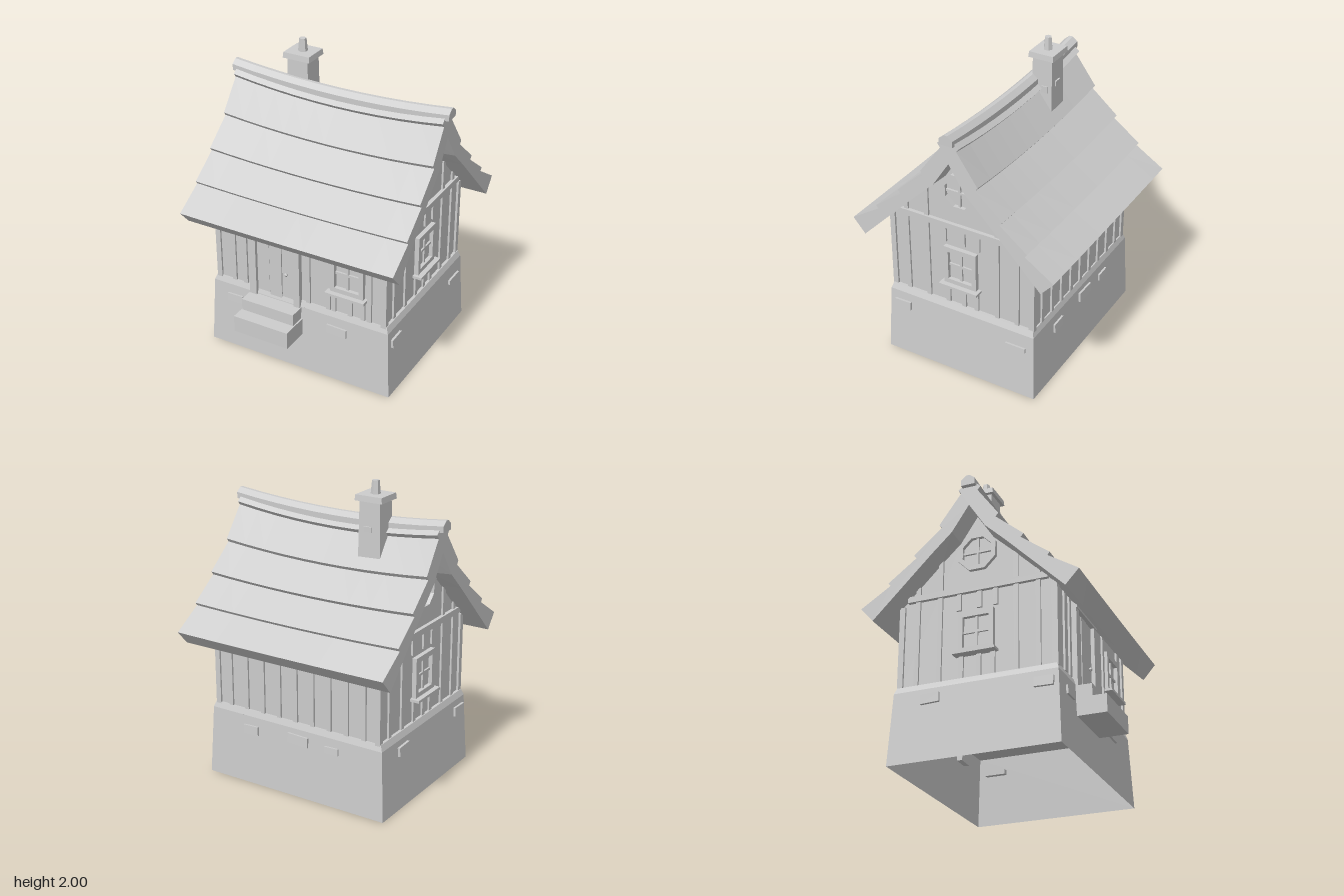
import * as THREE from 'three';

const plaster = new THREE.MeshStandardMaterial({ color: 0xcccccc, side: THREE.DoubleSide, flatShading: true });
plaster.name = 'light grey';

function add(parent, name, geometry, x = 0, y = 0, z = 0) {
  const mesh = new THREE.Mesh(geometry, plaster);
  mesh.name = name;
  mesh.position.set(x, y, z);
  parent.add(mesh);
  return mesh;
}

// Box given by its x, y and z ranges
function block(parent, name, [x0, x1], [y0, y1], [z0, z1]) {
  return add(parent, name, new THREE.BoxGeometry(x1 - x0, y1 - y0, z1 - z0),
    (x0 + x1) / 2, (y0 + y1) / 2, (z0 + z1) / 2);
}

// Four-sided tapered block: half sizes at bottom and top
function frustum(parent, name, y0, y1, bottom, top, open = false) {
  const g = new THREE.CylinderGeometry(Math.SQRT2 * top[0], Math.SQRT2 * bottom[0], y1 - y0, 4, 1, open);
  g.rotateY(Math.PI / 4).scale(1, 1, bottom[1] / bottom[0]);
  return add(parent, name, g, 0, (y0 + y1) / 2, 0);
}

// Closed [z, y] outline swept along x; bend moves each point
function loft(outline, segments, bend) {
  const pts = [];
  const n = outline.length;
  for (let s = 0; s <= segments; s++) {
    for (const [z, y] of outline) pts.push(...bend((s / segments) * 2 - 1, y, z));
  }
  const index = [];
  for (let s = 0; s < segments; s++) {
    for (let i = 0; i < n; i++) {
      const a = s * n + i, b = s * n + (i + 1) % n;
      index.push(a, a + n, b, b, a + n, b + n);
    }
  }
  const last = segments * n;
  for (const [a, b, c] of THREE.ShapeUtils.triangulateShape(outline.map(p => new THREE.Vector2(...p)), [])) {
    index.push(a, b, c, last + a, last + c, last + b);
  }
  const g = new THREE.BufferGeometry();
  g.setAttribute('position', new THREE.Float32BufferAttribute(pts, 3));
  g.setIndex(index);
  const flat = g.toNonIndexed();
  flat.computeVertexNormals();
  return flat;
}

// Underside of the roof, from eave to ridge
const under = [[0.625, 0.915], [0.24, 1.305], [0.11, 1.43], [0, 1.6]];
function underside(z) {
  const d = Math.abs(z);
  for (let i = 0; i < 3; i++) {
    const [za, ya] = under[i], [zb, yb] = under[i + 1];
    if (d >= zb) return ya + (yb - ya) * (za - d) / (za - zb);
  }
  return 1.6;
}

function wallGroup(parent, name, angle, distance) {
  const g = new THREE.Group();
  g.name = name;
  g.rotation.y = angle;
  g.translateZ(distance);
  parent.add(g);
  return g;
}

function batten(wall, u, y0, y1, w = 0.03) {
  block(wall, 'batten', [u - w / 2, u + w / 2], [y0, y1], [-0.01, 0.013]);
}

// Framed window with cross bars and a projecting sill
function casement(wall, u) {
  const g = new THREE.Group();
  g.name = 'window';
  g.position.x = u;
  wall.add(g);
  for (const s of [-1, 1]) {
    block(g, 'windowJamb', [s * 0.1 - 0.015, s * 0.1 + 0.015], [0.66, 0.925], [-0.01, 0.03]);
  }
  block(g, 'windowHead', [-0.115, 0.115], [0.89, 0.925], [-0.01, 0.03]);
  block(g, 'windowFoot', [-0.115, 0.115], [0.66, 0.69], [-0.01, 0.03]);
  block(g, 'pane', [-0.085, 0.085], [0.69, 0.89], [-0.001, 0.004]);
  block(g, 'windowMullion', [-0.008, 0.008], [0.69, 0.89], [0, 0.016]);
  block(g, 'windowCrossbar', [-0.085, 0.085], [0.785, 0.801], [0, 0.016]);
  block(g, 'windowSill', [-0.137, 0.137], [0.643, 0.66], [-0.01, 0.063]);
  for (const x of [-0.1, 0.015, 0.105]) batten(wall, u + x, 0.5, 0.645);
}

// Octagonal attic window
function atticWindow(wall) {
  const g = new THREE.Group();
  g.name = 'atticWindow';
  g.position.y = 1.33;
  wall.add(g);
  const octagon = r => Array.from({ length: 8 }, (_, i) => {
    const a = (i + 0.5) * Math.PI / 4;
    return new THREE.Vector2(Math.cos(a) * r, Math.sin(a) * r);
  });
  const shape = new THREE.Shape(octagon(0.133));
  shape.holes.push(new THREE.Path(octagon(0.102)));
  add(g, 'atticFrame', new THREE.ExtrudeGeometry(shape, { depth: 0.035, bevelEnabled: false }), 0, 0, -0.01);
  block(g, 'atticMullion', [-0.008, 0.008], [-0.1, 0.1], [-0.005, 0.014]);
  block(g, 'atticCrossbar', [-0.1, 0.1], [-0.008, 0.008], [-0.005, 0.014]);
}

// Stones standing proud of the foundation: [u, y, width, height, tilt]
function stones(wall, depth, list) {
  for (const [u, y, w, h, tilt] of list) {
    const m = add(wall, 'foundationStone', new THREE.BoxGeometry(w, h, 0.05), u, y, depth);
    m.rotation.set(-0.05, 0, tilt);
  }
}

export function createModel() {
  const house = new THREE.Group();
  house.name = 'cottage';

  // Foundation, open below
  frustum(house, 'foundation', 0, 0.46, [0.66, 0.545], [0.637, 0.526], true);
  frustum(house, 'foundationTop', 0.46, 0.5, [0.637, 0.526], [0.622, 0.514]);

  // Walls with both gables
  const section = [[-0.505, 0.48], [0.505, 0.48], [0.505, 1.04], [0.24, 1.31], [0.11, 1.44], [0, 1.61],
    [-0.11, 1.44], [-0.24, 1.31], [-0.505, 1.04]];
  add(house, 'walls', loft(section, 1, (t, y, z) => [t * 0.603, y, z]));
  for (const x of [-0.6, 0.6]) for (const z of [-0.5, 0.5]) {
    block(house, 'cornerPost', [x - 0.018, x + 0.018], [0.49, 1.04], [z - 0.018, z + 0.018]);
  }

  // Front wall: door, window and steps
  const front = wallGroup(house, 'frontWall', 0, 0.505);
  for (const u of [-0.485, -0.4, 0.065, 0.21, 0.5]) batten(front, u, 0.5, 1.04);
  casement(front, 0.35);
  block(front, 'doorPost', [-0.355, -0.305], [0.455, 1.04], [-0.01, 0.035]);
  block(front, 'doorPost', [-0.03, 0.015], [0.455, 1.04], [-0.01, 0.035]);
  block(front, 'doorLintel', [-0.355, 0.015], [0.97, 1.02], [-0.01, 0.04]);
  for (let i = 0; i < 3; i++) {
    const u = -0.305 + i * 0.0917;
    block(front, 'doorPlank', [u, u + 0.088], [0.455, 0.97], [-0.01, i === 1 ? 0.016 : 0.012]);
  }
  add(front, 'doorKnob', new THREE.IcosahedronGeometry(0.013, 0), -0.087, 0.667, 0.025);
  block(front, 'upperStep', [-0.36, 0.02], [0.375, 0.455], [-0.05, 0.125]);
  block(front, 'lowerStep', [-0.365, 0.03], [0.26, 0.375], [-0.05, 0.215]);
  stones(front, 0.013, [[-0.472, 0.367, 0.115, 0.055, 0.02], [0.28, 0.367, 0.14, 0.06, -0.03]]);

  // Back wall
  const back = wallGroup(house, 'backWall', Math.PI, 0.505);
  for (let i = -4; i <= 4; i++) batten(back, i * 0.125, 0.5, 1.04);
  stones(back, 0.013, [[-0.33, 0.37, 0.11, 0.06, 0.03], [0.03, 0.39, 0.15, 0.065, -0.03], [0.28, 0.38, 0.1, 0.045, 0.03]]);

  // Gable walls
  for (const side of [1, -1]) {
    const gable = wallGroup(house, side > 0 ? 'leftGable' : 'rightGable', side * Math.PI / 2, 0.603);
    for (const u of [-0.395, -0.245, 0.255, 0.395]) batten(gable, u, 0.5, underside(u) + 0.01);
    for (const u of [-0.12, 0.015, 0.12]) batten(gable, u, 0.95, 1.07);
    block(gable, 'gableBeam', [-0.46, 0.46], [1.06, 1.1], [-0.01, 0.025]);
    casement(gable, 0);
    atticWindow(gable);
    stones(gable, 0.029, side > 0
      ? [[-0.43, 0.372, 0.12, 0.055, 0.02], [0.405, 0.35, 0.14, 0.032, 0]]
      : [[-0.28, 0.39, 0.12, 0.06, 0.04], [0.44, 0.385, 0.12, 0.06, -0.02]]);
  }

  // Stepped roof courses, sagging in the middle
  const slope = [[0.625, 0.915], [0.71, 1.01], [0.515, 1.135], [0.53, 1.155], [0.345, 1.295], [0.363, 1.318],
    [0.18, 1.475], [0.197, 1.498], [0.055, 1.695], [0.075, 1.72], [0.04, 1.75]];
  const mirror = list => list.map(([z, y]) => [-z, y]).reverse();
  const outline = [...slope, ...mirror(slope), ...mirror(under.slice(1, 3)), [0, 1.6], ...under.slice(1, 3).reverse()];
  const inward = outline.slice(slope.length * 2);
  const order = [...slope, ...mirror(slope), ...inward.sort((a, b) => a[0] - b[0])];
  const sag = (t, y) => y - 0.055 * (1 - t * t) * Math.max(0, (y - 0.95) / 0.8);
  add(house, 'roof', loft(order, 10, (t, y, z) =>
    [t * (0.752 - 0.018 * (y - 0.915) / 0.8), sag(t, y), z - 0.008]));

  // Ridge cap
  const ridge = [[-0.046, 1.732], [0.046, 1.732], [0.046, 1.772], [0.012, 1.8], [-0.012, 1.8], [-0.046, 1.772]];
  add(house, 'ridgeCap', loft(ridge, 10, (t, y, z) => [t * 0.76, y - 0.045 * (1 - t * t), z - 0.008]));

  // Chimney with cap, pot and loose bricks
  const chimney = new THREE.Group();
  chimney.name = 'chimney';
  chimney.position.set(-0.308, 0, -0.083);
  house.add(chimney);
  frustum(chimney, 'chimneyStack', 1.4, 1.885, [0.08, 0.075], [0.072, 0.0675]);
  frustum(chimney, 'chimneyCap', 1.88, 1.917, [0.096, 0.088], [0.092, 0.084]);
  add(chimney, 'chimneyPot', new THREE.CylinderGeometry(0.023, 0.031, 0.085, 6), 0, 1.9575, 0);
  block(chimney, 'looseBrick', [0.03, 0.082], [1.65, 1.695], [-0.04, 0.0]);
  block(chimney, 'looseBrick', [-0.02, 0.035], [1.69, 1.725], [-0.08, -0.04]);
  return house;
}
